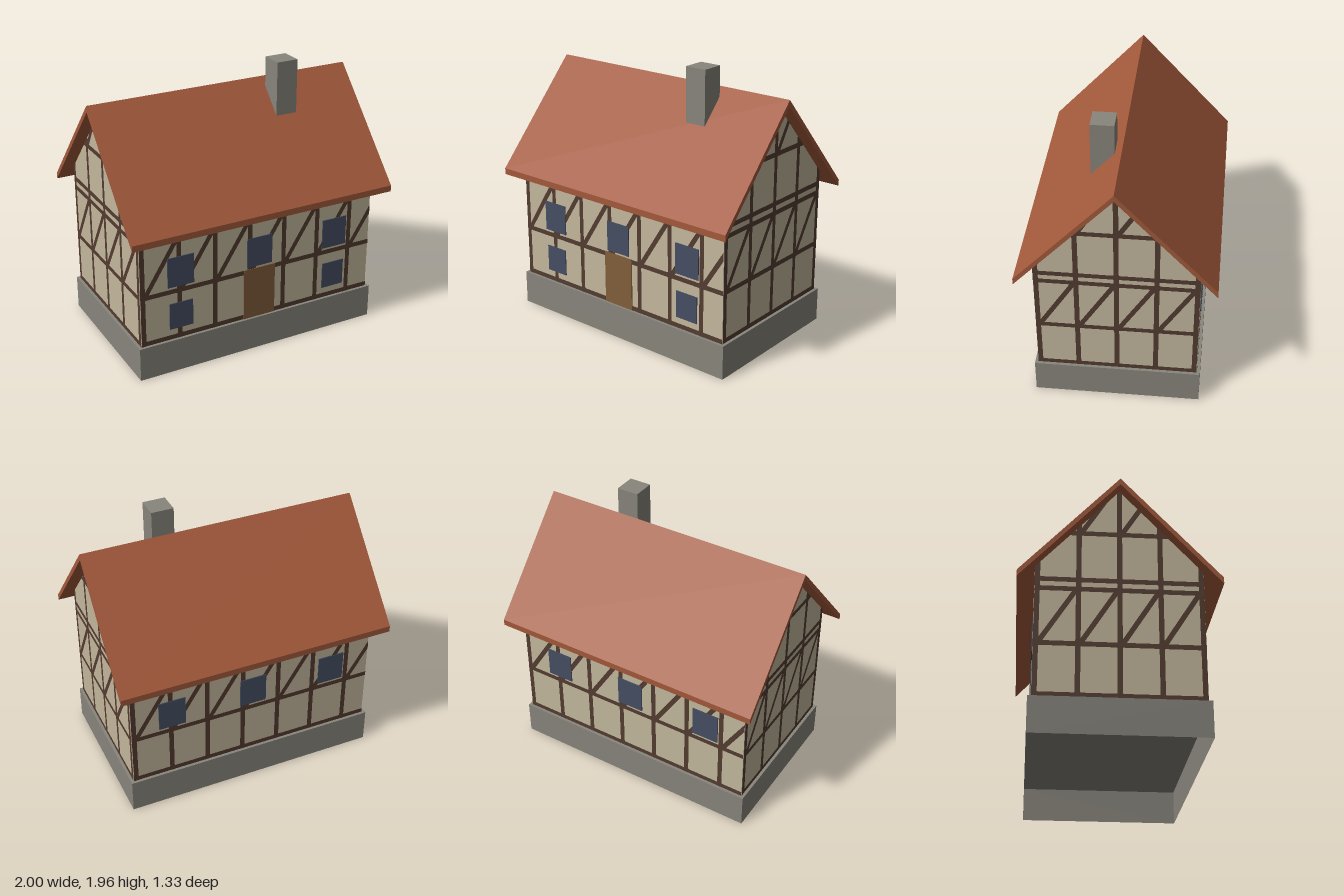
import * as THREE from 'three';
import { mergeGeometries } from 'three/addons/utils/BufferGeometryUtils.js';

const material = (name, color) => Object.assign(new THREE.MeshStandardMaterial({ color }), { name });

// Main dimensions
const BASE_TOP = 0.245, HALF_X = 0.907, HALF_Z = 0.552;
const RIDGE = 1.805, EAVE = 1.08, EAVE_Z = 0.667, ROOF_DROP = 0.045;
const underRoof = (z) => RIDGE - ROOF_DROP - (RIDGE - EAVE) * Math.abs(z) / EAVE_Z;
const WALL_TOP = underRoof(HALF_Z);

const toShape = (pts) => new THREE.Shape(pts.map(([x, y]) => new THREE.Vector2(x, y)));

// Extrude a (z, y) profile along x, centred
function extrudeAlongX(pts, length) {
  const g = new THREE.ExtrudeGeometry(toShape(pts), { depth: length, bevelEnabled: false });
  return g.translate(0, 0, -length / 2).rotateY(Math.PI / 2);
}

// Clip a polygon to a convex counter-clockwise outline
function clip(poly, outline) {
  outline.forEach(([ax, ay], i) => {
    const [bx, by] = outline[(i + 1) % outline.length];
    const side = ([x, y]) => (bx - ax) * (y - ay) - (by - ay) * (x - ax);
    const out = [];
    poly.forEach((p, j) => {
      const q = poly[(j + 1) % poly.length], sp = side(p), sq = side(q);
      if (sp >= 0) out.push(p);
      if (sp * sq < 0) {
        const t = sp / (sp - sq);
        out.push([p[0] + (q[0] - p[0]) * t, p[1] + (q[1] - p[1]) * t]);
      }
    });
    poly = out;
  });
  return poly;
}

// Flat beam of a given width between two points
function beam(x0, y0, x1, y1, w = 0.034) {
  const len = Math.hypot(x1 - x0, y1 - y0);
  const nx = -(y1 - y0) / len * w / 2, ny = (x1 - x0) / len * w / 2;
  return [[x0 - nx, y0 - ny], [x1 - nx, y1 - ny], [x1 + nx, y1 + ny], [x0 + nx, y0 + ny]];
}

// Timber frame of one wall, clipped to the outline of that wall
function timberGeometry(outline, half, spacing) {
  const polys = [], rails = [0.263, 0.613, 1.003, 1.07, 1.42, 1.81];
  for (const y of rails) polys.push(beam(-half, y, half, y));
  for (let x = -half + 0.018; x < half + 0.02; x += spacing) {
    polys.push(beam(x, 0.2, x, 1.9));
    // Braces slant to the right in the upper panels
    for (const y of [0.613, 1.42]) polys.push(beam(x + 0.012, y, x + spacing - 0.012, y + 0.39));
    // Small gussets where posts and rails cross
    for (const y of rails) {
      const r = 0.038;
      polys.push([[x - r, y], [x, y - r], [x + r, y], [x, y + r]]);
    }
  }
  return mergeGeometries(polys.map((p) => clip(p, outline)).filter((p) => p.length > 2)
    .map((p) => new THREE.ShapeGeometry(toShape(p))));
}

export function createModel() {
  const house = new THREE.Group();
  house.name = 'timberFramedHouse';
  const stone = material('stone', 0x88857c);
  stone.side = THREE.DoubleSide;
  const plaster = material('plaster', 0xc4b89e);
  const timber = material('timber', 0x533c30);
  const tile = material('roofTile', 0xa3593b);
  const glass = material('windowBlue', 0x444e62);
  const wood = material('doorWood', 0x825e3b);

  const add = (parent, name, geometry, mat, x = 0, y = 0, z = 0) => {
    const mesh = new THREE.Mesh(geometry, mat);
    mesh.name = name;
    mesh.position.set(x, y, z);
    parent.add(mesh);
    return mesh;
  };

  // Stone base, hollow and open underneath
  const base = new THREE.BoxGeometry(1.86, BASE_TOP, 1.15);
  const faces = Array.from(base.index.array);
  faces.splice(18, 6);
  base.setIndex(faces);
  base.clearGroups();
  add(house, 'base', base, stone, 0, BASE_TOP / 2, 0);

  // Plastered body with gables
  const gable = [[-HALF_Z, BASE_TOP + 0.002], [HALF_Z, BASE_TOP + 0.002], [HALF_Z, WALL_TOP],
    [0, underRoof(0)], [-HALF_Z, WALL_TOP]];
  add(house, 'walls', extrudeAlongX(gable, HALF_X * 2), plaster);

  // Roof slabs
  add(house, 'roof', extrudeAlongX([[-EAVE_Z, EAVE - ROOF_DROP], [0, RIDGE - ROOF_DROP],
    [EAVE_Z, EAVE - ROOF_DROP], [EAVE_Z, EAVE], [0, RIDGE], [-EAVE_Z, EAVE]], 2), tile);

  // Chimney
  add(house, 'chimney', new THREE.BoxGeometry(0.16, 0.41, 0.16), stone, 0.397, 1.755, 0.132);

  // Timber frames, one group for each side
  const longWall = [[-HALF_X, BASE_TOP], [HALF_X, BASE_TOP], [HALF_X, WALL_TOP], [-HALF_X, WALL_TOP]];
  const longFrame = timberGeometry(longWall, HALF_X, 0.27);
  const gableFrame = timberGeometry(gable, HALF_Z, 0.267);
  const sides = ['front', 'left', 'back', 'right'].map((name, i) => {
    const side = new THREE.Group();
    side.name = name + 'Side';
    side.rotation.y = i * Math.PI / 2;
    house.add(side);
    add(side, name + 'Timbers', i % 2 ? gableFrame : longFrame, timber, 0, 0,
      (i % 2 ? HALF_X : HALF_Z) + 0.003);
    return side;
  });

  // Windows and door as thin plates
  const plate = (side, name, w, h, mat, x, y) =>
    add(side, name, new THREE.BoxGeometry(w, h, 0.008), mat, x, y, HALF_Z + 0.003);
  for (const side of [sides[0], sides[2]])
    for (const x of [-0.608, -0.002, 0.607]) plate(side, 'upperWindow', 0.196, 0.22, glass, x, 0.756);
  for (const x of [-0.608, 0.607]) plate(sides[0], 'lowerWindow', 0.176, 0.195, glass, x, 0.423);
  plate(sides[0], 'door', 0.246, 0.385, wood, -0.002, 0.438);

  return house;
}
